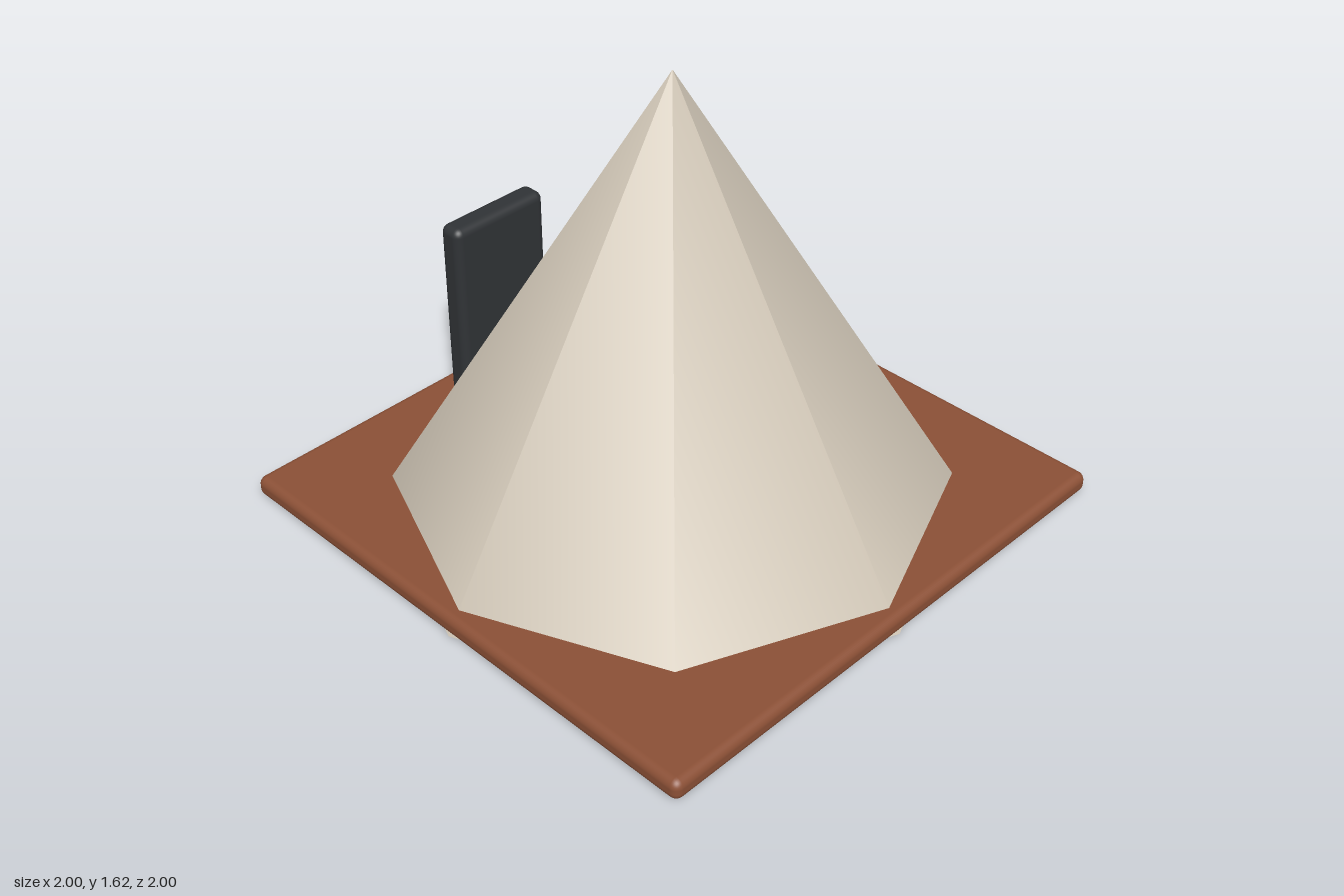
import * as THREE from 'three';
import { RoundedBoxGeometry } from 'three/addons/geometries/RoundedBoxGeometry.js';

// Adds a named, coloured part with its centre at the given position
function addPart(group, name, geometry, color, x, y, z) {
  const mesh = new THREE.Mesh(geometry, new THREE.MeshStandardMaterial({ color }));
  mesh.name = name;
  mesh.position.set(x, y, z);
  group.add(mesh);
}

export function createModel() {
  const model = new THREE.Group();
  model.name = 'coneOnBoard';

  // Thin square board with softened edges, a hair above the cone's underside
  addPart(model, 'baseBoard', new RoundedBoxGeometry(2, 0.076, 2, 4, 0.03), 0x8b5036, 0, 0.04, 0);

  // Smooth-shaded eight-sided cone running through the board to the floor
  addPart(model, 'cone', new THREE.ConeGeometry(1, 1.62, 8), 0xd2c8b8, 0, 0.81, 0);

  // Upright dark panel at the back, its foot sunk into the board
  addPart(model, 'backPanel', new RoundedBoxGeometry(0.4, 0.735, 0.095, 4, 0.03), 0x303336, 0, 0.3975, -0.878);

  return model;
}
